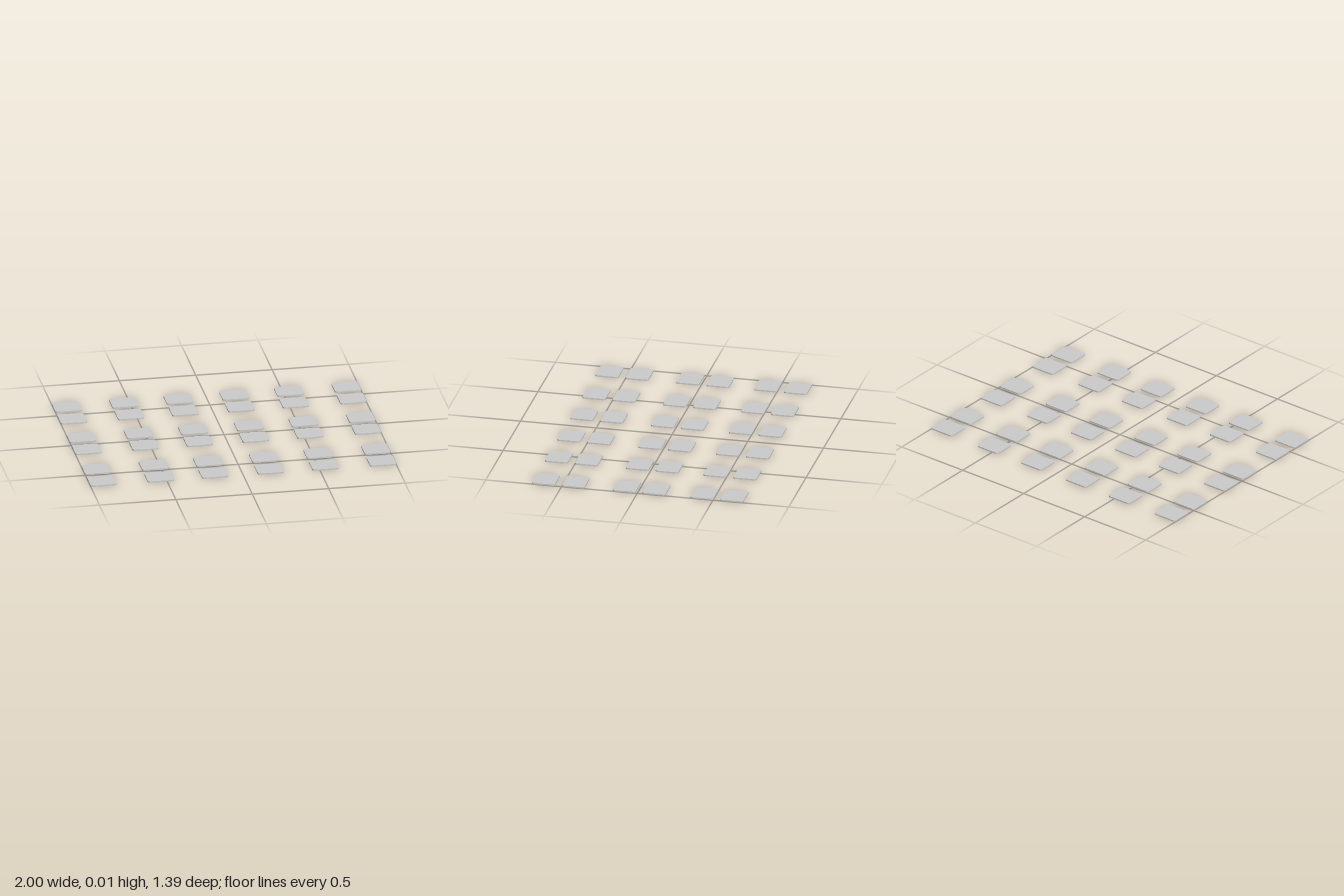
import * as THREE from 'three';

// Rounded rectangle centred on the origin
function roundedRect(w, d, r) {
  const x = w / 2, y = d / 2;
  const s = new THREE.Shape();
  s.absarc(x - r, y - r, r, 0, Math.PI / 2);
  s.absarc(-x + r, y - r, r, Math.PI / 2, Math.PI);
  s.absarc(-x + r, -y + r, r, Math.PI, Math.PI * 1.5);
  s.absarc(x - r, -y + r, r, Math.PI * 1.5, Math.PI * 2);
  s.closePath();
  return s;
}

export function createModel() {
  const model = new THREE.Group();
  model.name = 'padGrid';
  const material = new THREE.MeshStandardMaterial({ color: 0xcccccc });

  // One thin pad with rounded corners, lying flat on y = 0
  const pad = new THREE.ExtrudeGeometry(roundedRect(0.171, 0.151, 0.016), {
    depth: 0.009, bevelEnabled: false, curveSegments: 6,
  });
  pad.rotateX(-Math.PI / 2);

  // Six columns of pads in three pairs of rows
  const columns = [-0.9145, -0.54, -0.185, 0.181, 0.538, 0.9145];
  const rowPairs = [[-0.622, -0.425], [-0.108, 0.088], [0.425, 0.622]];
  rowPairs.forEach((rows, p) => {
    const pair = new THREE.Group();
    pair.name = `rowPair${p + 1}`;
    for (const z of rows) {
      for (const x of columns) {
        const mesh = new THREE.Mesh(pad, material);
        mesh.name = 'pad';
        mesh.position.set(x, 0, z);
        pair.add(mesh);
      }
    }
    model.add(pair);
  });
  return model;
}
